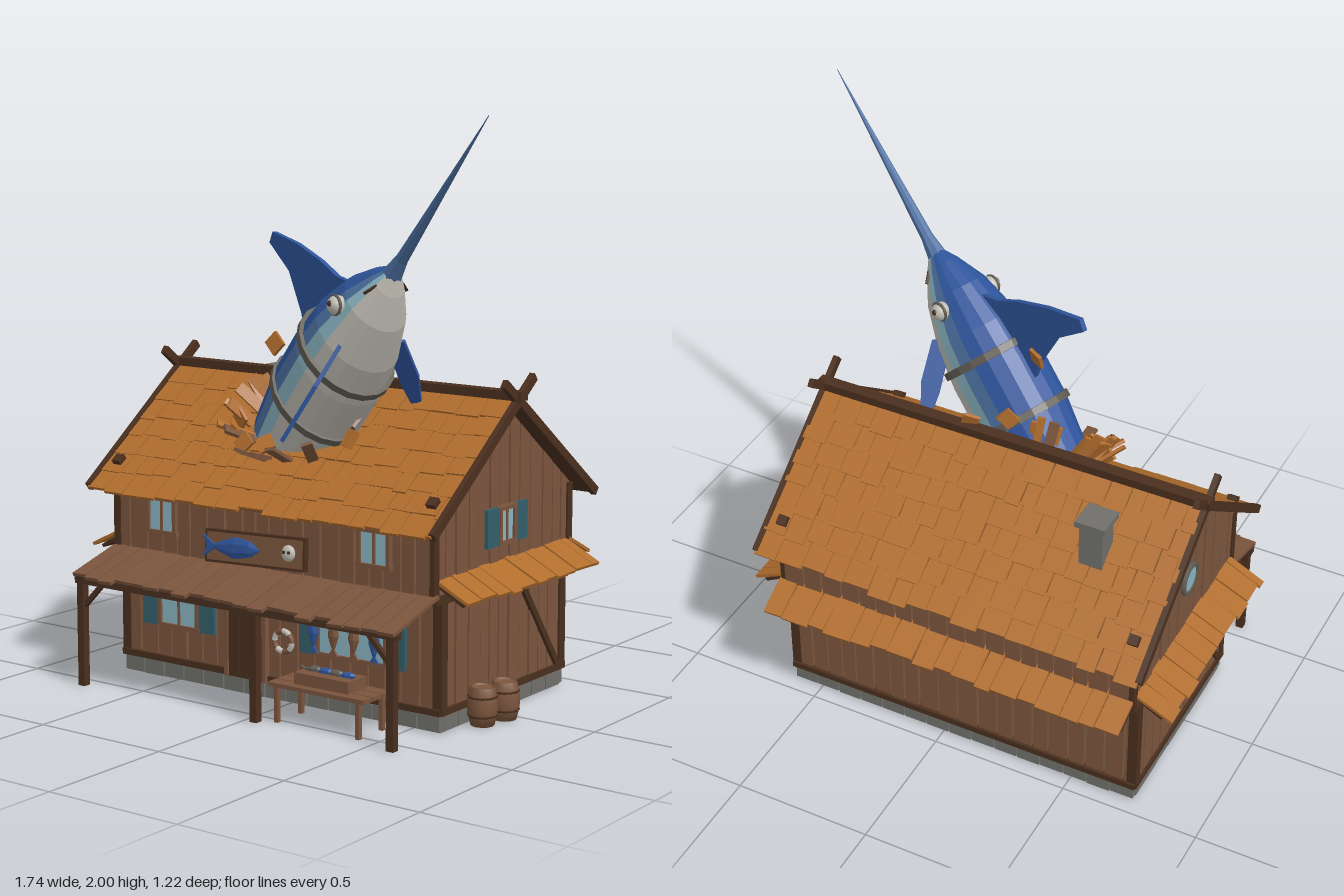
import * as THREE from 'three';

const mat = (name, color) => Object.assign(new THREE.MeshStandardMaterial({ color }), { name });
const M = {
  wood: mat('wall wood', 0x7b553d), dark: mat('dark timber', 0x4a2f1e), shingle: mat('orange shingle', 0xb06d2d),
  stone: mat('grey stone', 0x706f6b), blue: mat('fish blue', 0x2f559c), mid: mat('bill blue', 0x4d70a0),
  pale: mat('pale blue', 0x8ab5c2), belly: mat('belly white', 0xc2beb5), teal: mat('shutter teal', 0x335f69),
  strap: mat('rope grey', 0x615d54),
};
let seed = 7;
const rnd = (a = 0, b = 1) => { seed = (seed * 16807) % 2147483647; return a + (b - a) * seed / 2147483647; };

function add(parent, name, geo, m, x = 0, y = 0, z = 0, rx = 0, ry = 0, rz = 0) {
  const mesh = new THREE.Mesh(geo, m);
  mesh.name = name; mesh.position.set(x, y, z); mesh.rotation.set(rx, ry, rz);
  parent.add(mesh);
  return mesh;
}
const box = (p, name, m, w, h, d, ...pose) => add(p, name, new THREE.BoxGeometry(w, h, d), m, ...pose);
function group(parent, name, x = 0, y = 0, z = 0, rx = 0, ry = 0, rz = 0) {
  const g = new THREE.Group();
  g.name = name; g.position.set(x, y, z); g.rotation.set(rx, ry, rz, 'YXZ');
  parent.add(g);
  return g;
}
function plate(points, depth) {
  const s = new THREE.Shape(points.map(p => new THREE.Vector2(...p)));
  return new THREE.ExtrudeGeometry(s, { depth, bevelEnabled: false }).translate(0, 0, -depth / 2);
}
// Faceted elliptical tube along x; stations are [x, half height, half width]
function loft(stations, segs, pick = () => 0) {
  const pos = [], geo = new THREE.BufferGeometry();
  const pt = (s, j) => { const a = (j - 0.5) / segs * Math.PI * 2; return [s[0], s[1] * Math.cos(a), s[2] * Math.sin(a)]; };
  for (let j = 0; j < segs; j++) {
    geo.addGroup(pos.length / 3, (stations.length - 1) * 6, pick(j));
    for (let i = 0; i < stations.length - 1; i++) {
      const [p, q] = [stations[i], stations[i + 1]];
      pos.push(...pt(p, j), ...pt(p, j + 1), ...pt(q, j + 1), ...pt(p, j), ...pt(q, j + 1), ...pt(q, j));
    }
  }
  geo.setAttribute('position', new THREE.Float32BufferAttribute(pos, 3));
  geo.computeVertexNormals();
  return geo;
}
// Vertical boards whose tops follow a height rule
function planks(g, u0, u1, y0, top) {
  for (let u = u0; u < u1 - 0.01;) {
    const e = Math.min(u1, u + rnd(0.055, 0.08)), a = u + 0.0035, b = e - 0.0035;
    add(g, 'wallPlank', plate([[a, y0], [b, y0], [b, top(b)], [a, top(a)]], rnd(0.014, 0.024)), M.wood);
    u = e;
  }
}
function windowUnit(g, u, y, w, h, shutter = 0) {
  const n = group(g, 'window', u, y, 0.012);
  box(n, 'glass', M.pale, w, h, 0.008, 0, 0, 0.004);
  for (const s of [-1, 1]) {
    box(n, 'windowFrame', M.wood, w + 0.03, 0.014, 0.022, 0, s * (h / 2 + 0.004), 0.006);
    box(n, 'windowFrame', M.wood, 0.014, h, 0.022, s * (w / 2 + 0.004), 0, 0.006);
    if (shutter) box(n, 'shutter', M.teal, shutter, h + 0.02, 0.014, s * (w / 2 + 0.012 + shutter / 2), 0, 0.006);
  }
  box(n, 'windowBar', M.wood, 0.01, h, 0.012, 0, 0, 0.006);
}
// Shingled slope; local z runs downhill from the top edge
function slope(parent, name, x, y, z, tilt, turn, x0, x1, length, rows) {
  const g = group(parent, name, x, y, z, tilt, turn), pitch = length / rows;
  box(g, 'roofBoards', M.dark, x1 - x0 - 0.02, 0.012, length - 0.02, (x0 + x1) / 2, -0.012, length / 2);
  for (let r = 0; r < rows; r++) for (let u = x0; u < x1 - 0.01;) {
    const e = Math.min(x1, u + rnd(0.055, 0.11)), l = pitch + rnd(0.005, 0.028);
    box(g, 'shingle', M.shingle, e - u - 0.004, 0.011, l, (u + e) / 2, 0.002 + rnd(0, 0.005), r * pitch + l / 2, -0.04, rnd(-0.025, 0.025));
    u = e;
  }
  return g;
}
function smallFish(parent, m, l, x, y, z, rz) {
  const g = group(parent, 'smallFish', x, y, z, 0, 0, rz);
  add(g, 'smallFishBody', loft([[-l / 2, 0, 0], [-l * 0.3, l * 0.08, 0.008], [0, l * 0.18, 0.014], [l * 0.3, l * 0.13, 0.012], [l / 2, 0, 0]], 8), [m]);
  add(g, 'smallFishTail', plate([[-l * 0.36, 0], [-l * 0.6, l * 0.17], [-l * 0.54, 0], [-l * 0.6, -l * 0.17]], 0.008), m);
}

function buildHouse(root) {
  const h = group(root, 'house');
  // Foundation
  box(h, 'floorBase', M.stone, 1.34, 0.012, 0.74, -0.065, 0.006, -0.06);
  box(h, 'foundationCore', M.stone, 1.33, 0.05, 0.73, -0.065, 0.037, -0.06);
  for (const s of [-1, 1]) {
    for (let i = 0; i < 15; i++) box(h, 'stoneBlock', M.stone, 0.085, rnd(0.045, 0.056), 0.03, -0.695 + i * 0.09, 0.03, -0.06 + s * 0.365);
    for (let i = 0; i < 8; i++) box(h, 'stoneBlock', M.stone, 0.03, rnd(0.045, 0.056), 0.085, -0.065 + s * 0.66, 0.03, -0.375 + i * 0.09);
  }
  // Wall cores seen through the plank gaps
  box(h, 'lowerCore', M.stone, 1.32, 0.4, 0.73, -0.065, 0.26, -0.06);
  add(h, 'upperCore', plate([[-0.41, 0.44], [0.41, 0.44], [0.41, 0.70], [0, 1.02], [-0.41, 0.70]], 1.31), M.stone, -0.065, 0, -0.06, 0, Math.PI / 2);
  // Plank walls
  const flat = v => () => v;
  const front = group(h, 'frontWall', 0, 0, 0.31), frontUp = group(h, 'upperFrontWall', 0, 0, 0.355);
  const back = group(h, 'backWall', 0, 0, -0.43, 0, Math.PI), backUp = group(h, 'upperBackWall', 0, 0, -0.475, 0, Math.PI);
  const left = group(h, 'leftWall', 0.6, 0, 0, 0, Math.PI / 2), right = group(h, 'rightWall', -0.73, 0, 0, 0, -Math.PI / 2);
  planks(front, -0.73, 0.6, 0.07, flat(0.45)); planks(frontUp, -0.73, 0.6, 0.45, flat(0.71));
  planks(back, -0.6, 0.73, 0.07, flat(0.45)); planks(backUp, -0.6, 0.73, 0.45, flat(0.71));
  for (const [g, c] of [[left, 0.06], [right, -0.06]]) {
    planks(g, c - 0.37, c + 0.37, 0.07, flat(0.45));
    planks(g, c - 0.415, c + 0.415, 0.45, u => 1.03 - Math.abs(u - c) * 0.765);
    box(g, 'sillBeam', M.dark, 0.76, 0.022, 0.03, c, 0.07, 0.005);
    box(g, 'beltBeam', M.dark, 0.83, 0.03, 0.03, c, 0.445, 0.005);
    box(g, 'brace', M.dark, 0.43, 0.022, 0.02, c + 0.21, 0.255, 0.012, 0, 0, -0.95);
  }
  for (const g of [front, back]) box(g, 'sillBeam', M.dark, 1.36, 0.022, 0.03, g === front ? -0.065 : 0.065, 0.07, 0.005);
  for (const x of [-0.73, 0.6]) for (const s of [-1, 1]) {
    box(h, 'cornerPost', M.dark, 0.035, 0.39, 0.035, x, 0.255, -0.06 + s * 0.365);
    box(h, 'upperCornerPost', M.dark, 0.03, 0.26, 0.03, x, 0.58, -0.06 + s * 0.41);
  }
  // Windows and door
  windowUnit(front, -0.48, 0.27, 0.16, 0.14, 0.068);
  windowUnit(front, 0.265, 0.27, 0.27, 0.14, 0.068);
  windowUnit(frontUp, -0.515, 0.595, 0.11, 0.11); windowUnit(frontUp, 0.387, 0.595, 0.11, 0.11);
  windowUnit(left, 0.055, 0.632, 0.08, 0.11, 0.07); windowUnit(right, -0.06, 0.27, 0.13, 0.14, 0.07);
  add(right, 'roundGlass', new THREE.CylinderGeometry(0.05, 0.05, 0.008, 16), M.pale, -0.06, 0.72, 0.018, Math.PI / 2);
  add(right, 'roundFrame', new THREE.TorusGeometry(0.053, 0.01, 6, 16), M.strap, -0.06, 0.72, 0.018);
  for (let i = 0; i < 3; i++) box(front, 'doorPlank', M.dark, 0.048, 0.3, 0.022, -0.23 + i * 0.05, 0.21, 0.015);
  for (const x of [-0.262, -0.098]) box(front, 'doorFrame', M.wood, 0.016, 0.31, 0.035, x, 0.215, 0.015);
  add(front, 'doorKnob', new THREE.SphereGeometry(0.008, 8, 6), M.strap, -0.125, 0.21, 0.03);
  // Banded life ring
  for (let i = 0; i < 8; i++) add(front, 'lifeRing', new THREE.TorusGeometry(0.036, 0.01, 8, 4, Math.PI / 4), i % 2 ? M.belly : M.wood, -0.015, 0.217, 0.028, 0, 0, i * Math.PI / 4);
  // Main roof, ridge and crossing gable boards
  for (const s of [1, -1]) {
    const c = -0.065 * s;
    const g = slope(h, s > 0 ? 'frontRoof' : 'backRoof', 0, 1.05, -0.06, 0.645, s > 0 ? 0 : Math.PI, c - 0.725, c + 0.725, 0.62, 7);
    for (const e of [-1, 1]) {
      box(g, 'gableBoard', M.dark, 0.02, 0.03, 0.74, c + e * 0.725, s * 0.003, 0.257);
      box(g, 'roofPeg', M.dark, 0.035, 0.04, 0.035, c + e * 0.665, 0.01, 0.5);
    }
  }
  box(h, 'ridgeBeam', M.dark, 1.49, 0.03, 0.045, -0.065, 1.065, -0.06);
  // Chimney
  box(h, 'chimney', M.stone, 0.085, 0.28, 0.085, -0.495, 0.9, -0.275);
  box(h, 'chimneyCap', M.stone, 0.11, 0.022, 0.11, -0.495, 1.04, -0.275);
  // Skirt roofs and rafter ends
  slope(h, 'leftSkirt', 0.6, 0.51, 0, 0.5, Math.PI / 2, -0.34, 0.46, 0.135, 1);
  slope(h, 'rightSkirt', -0.73, 0.51, 0, 0.5, -Math.PI / 2, -0.46, 0.34, 0.135, 1);
  slope(h, 'backSkirt', 0, 0.51, -0.465, 0.5, Math.PI, -0.62, 0.75, 0.13, 1);
  for (let i = 0; i < 16; i++) box(h, 'rafterEnd', M.dark, 0.018, 0.018, 0.11, -0.7 + i * 0.085, 0.457, -0.515, -0.5);
}

function buildPorch(root) {
  const p = group(root, 'porch');
  for (let i = 0; i < 21; i++) {
    const l = rnd(0.235, 0.27);
    box(p, 'porchRoofPlank', M.wood, 0.062, 0.012, l, -0.715 + i * 0.0655, 0.463 - l * 0.145, 0.345 + l / 2, 0.285, 0, rnd(-0.04, 0.04));
  }
  box(p, 'porchBeam', M.dark, 1.36, 0.025, 0.025, -0.065, 0.375, 0.56);
  for (const x of [-0.72, 0.04, 0.59]) {
    box(p, 'porchPost', M.dark, 0.028, 0.38, 0.028, x, 0.19, 0.56);
    box(p, 'porchRafter', M.dark, 0.022, 0.022, 0.25, x, 0.415, 0.455, 0.285);
  }
  box(p, 'postBrace', M.dark, 0.11, 0.016, 0.016, -0.67, 0.325, 0.56, 0, 0, 0.8);
  box(p, 'postBrace', M.dark, 0.11, 0.016, 0.016, 0.54, 0.325, 0.56, 0, 0, -0.8);
  // Hanging catch
  box(p, 'hangingRod', M.dark, 0.36, 0.01, 0.01, 0.25, 0.35, 0.345);
  [M.blue, M.wood, M.wood, M.blue].forEach((m, i) => smallFish(p, m, 0.115, 0.117 + i * 0.083, 0.27, 0.345, Math.PI / 2));
  // Table with crate
  for (let i = 0; i < 3; i++) box(p, 'tableTop', M.wood, 0.39, 0.014, 0.048, 0.265, 0.128, 0.405 + i * 0.052);
  for (const x of [0.1, 0.43]) for (const z of [0.39, 0.52]) box(p, 'tableLeg', M.wood, 0.016, 0.124, 0.016, x, 0.062, z);
  box(p, 'crate', M.wood, 0.22, 0.04, 0.1, 0.27, 0.156, 0.457);
  for (let i = 0; i < 4; i++) smallFish(p, i % 2 ? M.blue : M.strap, 0.08, 0.2 + i * 0.045, 0.18, 0.455, 0.1);
  // Sign board
  const s = group(p, 'signBoard', -0.065, 0.54, 0.42, -0.08, 0, 0.04);
  box(s, 'signPlank', M.wood, 0.41, 0.105, 0.016);
  for (const y of [-0.052, 0.052]) box(s, 'signEdge', M.dark, 0.42, 0.008, 0.02, 0, y);
  for (const x of [-0.207, 0.207]) box(s, 'signEdge', M.dark, 0.008, 0.105, 0.02, x);
  smallFish(s, M.blue, 0.22, -0.08, 0, 0.014, 0);
  add(s, 'signFloat', new THREE.SphereGeometry(0.028, 10, 8), M.belly, 0.147, 0.002, 0.014).scale.z = 0.5;
  for (const x of [-0.01, 0.01]) box(s, 'floatHole', M.dark, 0.01, 0.01, 0.006, 0.147 + x, 0.006, 0.026);
  // Barrels
  const profile = [[0, 0], [0.04, 0], [0.05, 0.04], [0.051, 0.07], [0.048, 0.1], [0.041, 0.13], [0.036, 0.13], [0.036, 0.122], [0, 0.122]];
  for (const [x, z] of [[0.66, 0.145], [0.68, 0.042]]) {
    add(p, 'barrel', new THREE.LatheGeometry(profile.map(q => new THREE.Vector2(...q)), 12), M.wood, x, 0, z);
    for (const y of [0.035, 0.098]) add(p, 'barrelHoop', new THREE.TorusGeometry(0.048, 0.004, 5, 12), M.dark, x, y, z, Math.PI / 2);
  }
}

function buildFish(root) {
  // Local x points along the bill, y to the back fin, z to the side
  const V = (...a) => new THREE.Vector3(...a);
  const f = group(root, 'giantFish', 0.4, 1.485, 0.286);
  f.quaternion.setFromRotationMatrix(new THREE.Matrix4().makeBasis(V(0.651, 0.722, 0.232).normalize(), V(-0.68, 0.691, -0.243).normalize(), V(-0.336, 0, 0.942).normalize()));
  const sizes = [[-1, 0.14], [-0.85, 0.165], [-0.64, 0.19], [-0.45, 0.19], [-0.3, 0.172], [-0.15, 0.126], [-0.05, 0.068], [0.01, 0.022]];
  // Blue back, two side stripes, white belly
  const stripe = j => Math.max(0, Math.min(3, Math.min(j, 20 - j) - 3));
  add(f, 'fishBody', loft(sizes.map(([x, r]) => [x, r, r * 0.83]), 20, stripe), [M.blue, M.mid, M.pale, M.belly]);
  add(f, 'bill', loft([[-0.03, 0.04, 0.036], [0.06, 0.022, 0.022], [0.71, 0.001, 0.001]], 8), [M.mid]);
  for (const [x, r] of [[-0.4, 0.192], [-0.64, 0.194]])
    add(f, 'strap', loft([[x - 0.014, r - 0.01], [x - 0.013, r + 0.006], [x + 0.013, r + 0.006], [x + 0.014, r - 0.01]].map(([a, b]) => [a, b, b * 0.84]), 20), [M.strap]);
  add(f, 'dorsalFin', plate([[-0.2, 0.13], [-0.25, 0.205], [-0.285, 0.305], [-0.35, 0.44], [-0.435, 0.572], [-0.476, 0.56], [-0.455, 0.41], [-0.5, 0.26], [-0.56, 0.15]], 0.018), M.blue);
  for (const s of [1, -1]) {
    const side = group(f, 'fishSide');
    side.scale.z = s;
    add(side, 'eye', new THREE.SphereGeometry(0.034, 12, 8), M.belly, -0.19, 0.034, 0.116);
    add(side, 'eyeRing', new THREE.TorusGeometry(0.031, 0.006, 6, 12), M.strap, -0.189, 0.035, 0.124);
    add(side, 'pupil', new THREE.SphereGeometry(0.013, 8, 6), M.dark, -0.185, 0.038, 0.14);
    box(side, 'mouth', M.dark, 0.05, 0.006, 0.01, -0.065, -0.012, 0.068, 0, 0.75);
    const X = V(-0.26, -0.162, 0.182).normalize(), Z = V().crossVectors(X, V(1, 0, 0)).normalize(), Y = V().crossVectors(Z, X);
    const fin = add(side, 'sideFin', plate([[-0.02, -0.03], [0, 0.035], [0.15, 0.036], [0.36, -0.015], [0.17, -0.035]], 0.014), M.blue, -0.285, -0.064, 0.11);
    fin.quaternion.setFromRotationMatrix(new THREE.Matrix4().makeBasis(X, Y, Z));
  }
}

function buildDebris(root) {
  const g = group(root, 'brokenRoof', -0.09, 0.915, 0.13, 0.645);
  // Splintered boards standing around the hole
  for (let i = 0; i < 28; i++) {
    const a = rnd(0.9, 6.5), r = rnd(0.95, 1.12);
    const q = group(g, 'splinterMount', Math.cos(a) * 0.23 * r, 0.02, Math.sin(a) * 0.19 * r, 0, -a);
    box(q, 'splinter', i % 3 ? M.shingle : M.wood, 0.012, rnd(0.08, 0.15), rnd(0.02, 0.045), 0, 0.03, 0, rnd(-0.2, 0.2), 0, -rnd(0.2, 0.8));
  }
  // Flung shingles
  for (const [x, y, z] of [[-0.09, 1.32, 0.09], [0.31, 0.95, 0.4], [0.02, 1.24, 0.42], [-0.05, 1.14, -0.04], [0.09, 1.09, -0.05], [-0.32, 0.93, 0.18], [-0.21, 0.87, 0.3], [-0.14, 0.87, 0.27]])
    box(root, 'flungShingle', M.shingle, 0.055, 0.012, 0.06, x, y, z, rnd(0.4, 1.4), rnd(-1, 1), rnd(-0.6, 0.6));
}

export function createModel() {
  const root = new THREE.Group();
  root.name = 'fishermansHouse';
  buildHouse(root);
  buildPorch(root);
  buildFish(root);
  buildDebris(root);
  return root;
}
